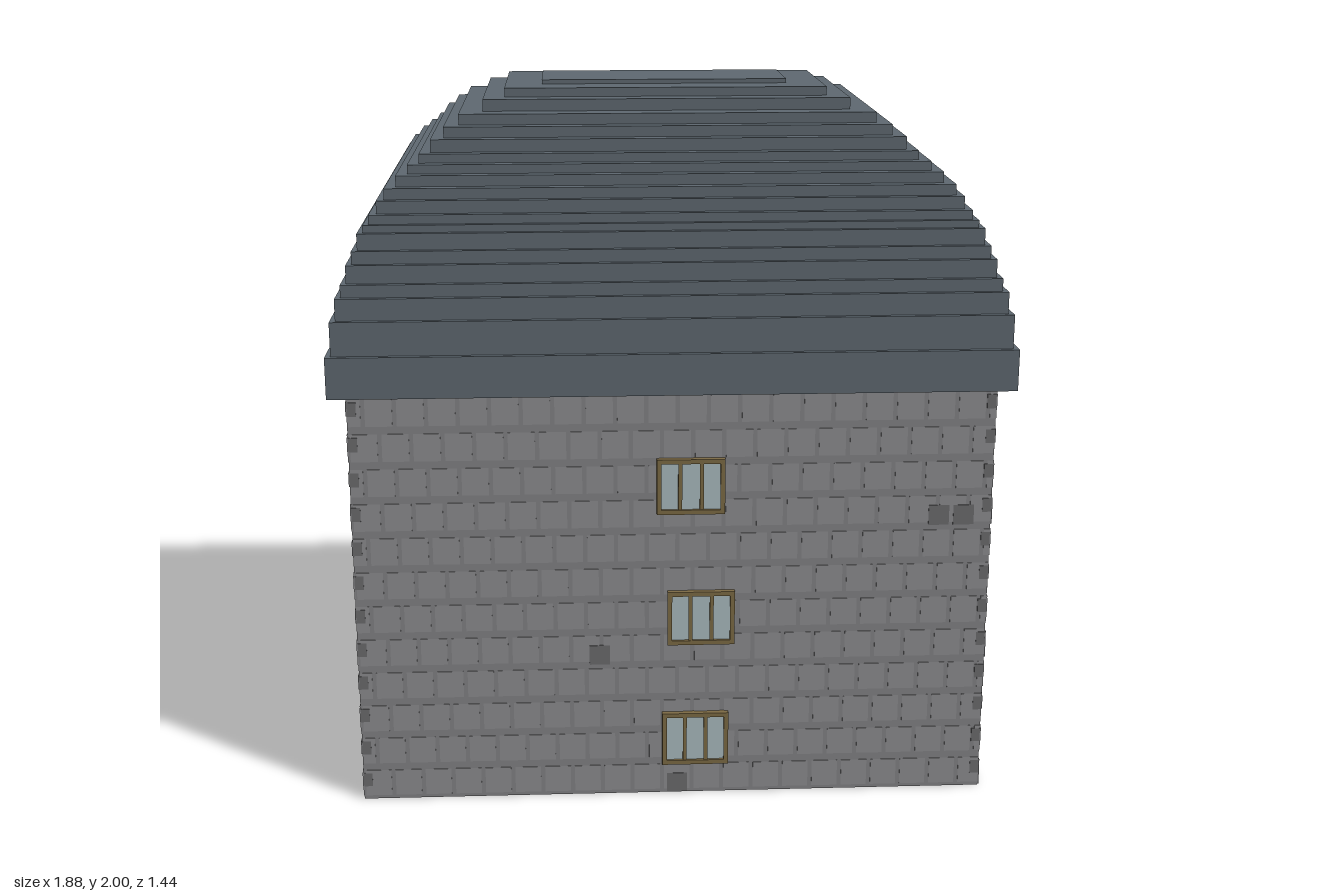
import * as THREE from 'three';
import { mergeGeometries } from 'three/addons/utils/BufferGeometryUtils.js';

const mat = (color) => new THREE.MeshStandardMaterial({ color });
const M = {
  wall: mat(0x838386), stone: mat(0x8e8e90), darkStone: mat(0x6c6c6e), roof: mat(0x5f6971),
  frame: mat(0x7d6b45), glass: mat(0xabbcc0), door: mat(0x7a6440), trim: mat(0xb4b4b2),
};
const HX = 0.893, HZ = 0.672, H = 1.21;

// Box centred on x, y, z
function boxGeo(w, h, d, x, y, z) {
  return new THREE.BoxGeometry(w, h, d).translate(x, y, z);
}
function addMerged(parent, name, geos, material) {
  const mesh = new THREE.Mesh(mergeGeometries(geos), material);
  mesh.name = name;
  parent.add(mesh);
}

// Three-pane window standing proud of the wall plane z = 0
function makeWindow(x, y) {
  const g = new THREE.Group();
  g.name = 'window';
  const W = 0.19, T = 0.16, b = 0.013, d = 0.018;
  const bars = [];
  for (const s of [-1, 1]) {
    bars.push(boxGeo(W, b, d, 0, s * (T - b) / 2, d / 2));
    bars.push(boxGeo(b, T - 2 * b, d, s * (W - b) / 2, 0, d / 2));
    bars.push(boxGeo(0.011, T - 2 * b, 0.015, s * 0.03, 0, 0.0075));
  }
  addMerged(g, 'windowFrame', bars, M.frame);
  addMerged(g, 'windowGlass', [boxGeo(W - 2 * b, T - 2 * b, 0.01, 0, 0, 0.005)], M.glass);
  g.position.set(x, y, 0);
  return g;
}

// One side: staggered stone courses, odd dark stones, windows
function makeWall({ name, half, dist, turn, windows, dark }) {
  const pivot = new THREE.Group();
  pivot.name = name;
  pivot.rotation.y = turn;
  const wall = new THREE.Group();
  wall.name = name + 'Face';
  wall.position.z = dist;
  pivot.add(wall);

  const stones = [], pitch = 0.086, courses = 12, ch = H / courses;
  for (let r = 0; r < courses; r++) {
    const start = -half + (r % 2 ? -pitch / 2 : 0);
    for (let x = start; x < half; x += pitch) {
      const a = Math.max(x + 0.006, -half), b = Math.min(x + pitch - 0.006, half);
      if (b - a > 0.01) stones.push(boxGeo(b - a, ch - 0.022, 0.003, (a + b) / 2, (r + 0.5) * ch, 0.0005));
    }
  }
  addMerged(wall, 'stones', stones, M.stone);

  const darkGeos = dark.map(([x, y]) => boxGeo(0.058, 0.058, 0.006, x, y, 0.0005));
  for (let r = 0; r < courses; r++) {
    for (const s of [-1, 1]) darkGeos.push(boxGeo(0.025, 0.04, 0.005, s * (half - 0.013), (r + 0.6) * ch, 0.0005));
  }
  addMerged(wall, 'darkStones', darkGeos, M.darkStone);
  windows.forEach(([x, y]) => wall.add(makeWindow(x, y)));
  return { pivot, wall };
}

export function createModel() {
  const model = new THREE.Group();
  model.name = 'house';
  addMerged(model, 'walls', [boxGeo(HX * 2, H, HZ * 2, 0, H / 2, 0)], M.wall);

  // Domed roof of stepped slabs: [half width, top height]
  const steps = [
    [0.94, 1.326], [0.925, 1.42], [0.91, 1.48], [0.895, 1.515], [0.88, 1.565], [0.865, 1.6], [0.85, 1.645],
    [0.835, 1.665], [0.82, 1.69], [0.8, 1.725], [0.78, 1.755], [0.75, 1.785], [0.72, 1.81], [0.69, 1.835],
    [0.66, 1.87], [0.625, 1.9], [0.585, 1.93], [0.52, 1.963], [0.46, 1.988], [0.355, 2],
  ];
  let y0 = H;
  const slabs = steps.map(([hx, top]) => {
    const slab = boxGeo(hx * 2, top - y0, (hx - 0.222) * 2, 0, (top + y0) / 2, 0);
    y0 = top;
    return slab;
  });
  addMerged(model, 'roof', slabs, M.roof);

  // Four sides; x runs along each wall as seen from outside
  const sides = [
    { name: 'frontWall', half: HX, dist: HZ, turn: 0,
      windows: [[0.047, 0.938], [0.077, 0.547], [0.062, 0.175]],
      dark: [[-0.21, 0.435], [0.01, 0.032], [0.745, 0.84], [0.815, 0.84]] },
    { name: 'leftWall', half: HZ, dist: HX, turn: Math.PI / 2,
      windows: [[0.005, 1.1], [0.05, 0.655], [0.037, 0.16]],
      dark: [[-0.153, 0.84], [0.505, 0.032], [-0.643, 0.032], [-0.643, 0.435], [-0.643, 0.84]] },
    { name: 'backWall', half: HX, dist: HZ, turn: Math.PI,
      windows: [[-0.07, 1.01], [0.065, 0.637]],
      dark: [[0.465, 0.84], [-0.29, 0.032]] },
    { name: 'rightWall', half: HZ, dist: HX, turn: -Math.PI / 2,
      windows: [[0.035, 1.088], [0.055, 0.52], [0.08, 0.247]],
      dark: [[0.585, 0.84], [-0.49, 0.032]] },
  ];
  const walls = {};
  for (const s of sides) {
    const { pivot, wall } = makeWall(s);
    model.add(pivot);
    walls[s.name] = wall;
  }

  // Back entrance: double door, row of posts and a beam
  const back = walls.backWall;
  addMerged(back, 'doubleDoor', [-1, 1].map((s) => boxGeo(0.122, 0.315, 0.016, s * 0.063 - 0.01, 0.1575, 0.008)), M.door);
  const posts = [];
  for (let i = -3; i <= 3; i++) posts.push(boxGeo(0.022, 0.415, 0.018, i * 0.207, 0.2075, 0.022));
  addMerged(back, 'porchPosts', posts, M.trim);
  addMerged(back, 'porchBeam', [boxGeo(1.74, 0.042, 0.046, 0, 0.43, 0.023)], M.trim);
  return model;
}
